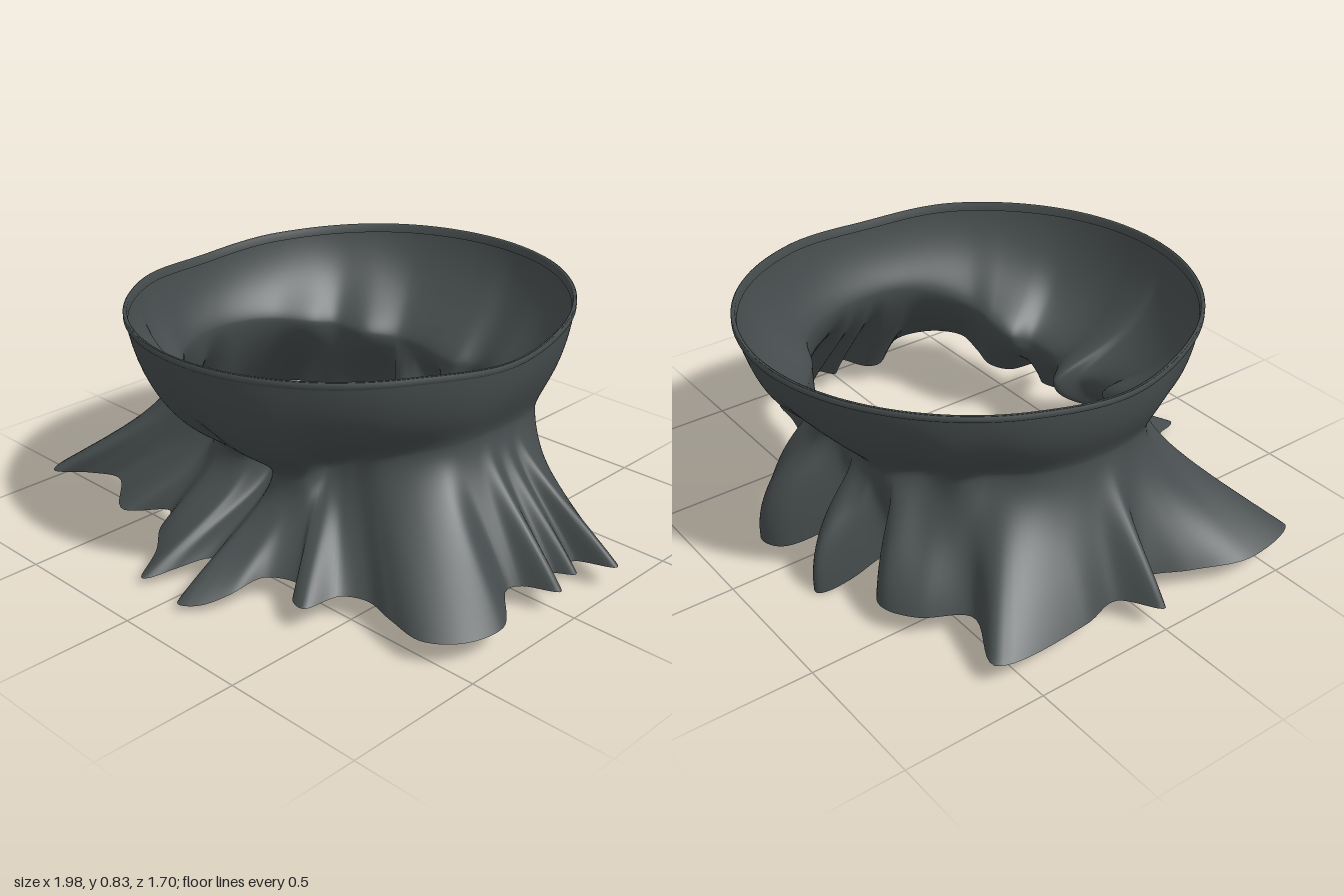
import * as THREE from 'three';

const N = 480; // columns around the cloth
const { lerp, smoothstep } = THREE.MathUtils;

// Outline of the gathered waist, seen from above (x, z), from the front towards +x
const WAIST = [
  -.03, .33, .05, .41, .1, .43, .2, .41, .24, .34, .32, .31, .42, .29, .55, .19, .61, .08, .62, -.1,
  .59, -.26, .53, -.36, .4, -.42, .3, -.5, .2, -.54, .08, -.6, 0, -.56, -.06, -.56, -.2, -.58,
  -.28, -.57, -.38, -.48, -.5, -.44, -.55, -.36, -.65, -.25, -.7, -.1, -.7, .05, -.66, .18,
  -.58, .26, -.5, .33, -.4, .31, -.3, .32, -.25, .4, -.15, .43, -.08, .41,
];

// Outline of the wavy lower hem
const HEM = [
  0, .64, .04, .81, .07, .85, .12, .82, .18, .72, .22, .6, .32, .56, .38, .64, .44, .65, .47, .52,
  .55, .48, .68, .51, .82, .53, .92, .45, .95, .3, .82, .12, .84, .07, .95, .01, .86, -.06,
  .92, -.11, .86, -.17, .99, -.24, .9, -.3, .78, -.36, .68, -.37, .53, -.4, .36, -.4,
  .23, -.41, .26, -.5, .34, -.61, .27, -.72, .18, -.79, .1, -.76, .02, -.6, -.03, -.45,
  -.07, -.58, -.11, -.74, -.18, -.79, -.22, -.68, -.24, -.5, -.29, -.55, -.35, -.66, -.45, -.71,
  -.56, -.65, -.66, -.51, -.88, -.59, -.9, -.25, -.87, -.1, -.99, 0, -.84, .05, -.9, .2,
  -.97, .4, -.91, .63, -.8, .55, -.69, .5, -.48, .64, -.36, .53, -.28, .64, -.21, .71,
  -.14, .83, -.08, .74,
];

// Evenly stepped points on a smooth closed outline
function outline(flat, count) {
  const pts = [];
  for (let i = 0; i < flat.length; i += 2) pts.push(new THREE.Vector3(flat[i], 0, flat[i + 1]));
  const curve = new THREE.CatmullRomCurve3(pts, true);
  return Array.from({ length: count }, (_, i) => curve.getPoint(i / count));
}

// Angles around y, unwrapped so that they keep growing
function unwrapAngles(points) {
  let last = 0;
  return points.map((p) => {
    let a = Math.atan2(p.x, p.z);
    a += Math.round((last - a) / (2 * Math.PI)) * 2 * Math.PI;
    return (last = a);
  });
}

// Radius of an outline as a function of the angle
function radiusByAngle(flat) {
  const pts = outline(flat, 720);
  const angles = unwrapAngles(pts);
  const start = angles[0];
  return (angle) => {
    const a = start + THREE.MathUtils.euclideanModulo(angle - start, 2 * Math.PI);
    let k = angles.findIndex((v) => v > a);
    if (k < 1) k = angles.length;
    const a0 = angles[k - 1];
    const a1 = k < angles.length ? angles[k] : start + 2 * Math.PI;
    const f = (a - a0) / Math.max(a1 - a0, 1e-6);
    return lerp(pts[k - 1].length(), pts[k % pts.length].length(), f);
  };
}

// Skin a closed ring of columns, each a list of points from top to bottom
function skin(columns) {
  const rows = columns[0].length;
  const positions = columns.flatMap((col) => col.flatMap((p) => [p.x, p.y, p.z]));
  const index = [];
  for (let i = 0; i < columns.length; i++) {
    const a = i * rows;
    const b = ((i + 1) % columns.length) * rows;
    for (let j = 0; j < rows - 1; j++) {
      index.push(a + j, a + j + 1, b + j, b + j, a + j + 1, b + j + 1);
    }
  }
  const g = new THREE.BufferGeometry();
  g.setAttribute('position', new THREE.Float32BufferAttribute(positions, 3));
  g.setIndex(index);
  g.computeVertexNormals();
  return g;
}

export function createModel() {
  const group = new THREE.Group();
  group.name = 'drapedCloth';
  const cloth = new THREE.MeshStandardMaterial({ color: 0x464c4d, side: THREE.DoubleSide });
  cloth.name = 'charcoalCloth';

  const hem = outline(HEM, N);
  const rawAngles = unwrapAngles(hem);
  const waistRadius = radiusByAngle(WAIST);

  // Averaged angles keep the bowl smooth where the hem doubles back
  const reach = 10;
  const angles = hem.map((_, i) => {
    let sum = 0;
    for (let k = -reach; k <= reach; k++) {
      const j = i + k;
      sum += rawAngles[(j + N) % N] + Math.floor(j / N) * 2 * Math.PI;
    }
    return sum / (2 * reach + 1);
  });

  const bowl = [], skirt = [], lip = [];
  angles.forEach((angle, i) => {
    const s = Math.sin(angle), c = Math.cos(angle);
    const front = Math.max(c, 0), back = Math.max(-c, 0);

    // Rim: an offset oval, a little higher at the back
    const rim = new THREE.Vector3(-.045 + .745 * s, 0, -.06 + .79 * c);
    rim.y = .788 + .02 * smoothstep(Math.abs(rim.z), 0, .35) + .022 * smoothstep(-rim.z, .2, .85);

    // Waist: low at the front, high at the sides
    const r = waistRadius(angle);
    const waist = new THREE.Vector3(r * s, .52 - .19 * front ** 2 - .1 * back ** 2, r * c);

    // Hem: dips at the front and back
    const end = hem[i].clone();
    const middle = 1 - smoothstep(Math.abs(end.x), .26, .46);
    end.y = .08 - .055 * middle * smoothstep(end.z, .6, .84) - .08 * middle * smoothstep(-end.z, .5, .8);

    // Bowl curve from rim to waist
    const tall = rim.y - waist.y;
    const b1 = rim.clone().lerp(waist, .15).setY(waist.y + tall * (.38 - .19 * front));
    const b2 = waist.clone().lerp(rim, .12).setY(waist.y + tall * .2);
    bowl.push(new THREE.CubicBezierCurve3(rim, b1, b2, waist).getPoints(20));

    // Skirt curve from waist to hem: shouldered at the sides, hanging straighter at the back
    const side = s ** 10;
    const hang = back ** 4 * smoothstep(end.length() - r, -.05, .1);
    const k1 = waist.clone().setY(waist.y - .11);
    const k2 = waist.clone().lerp(end, .55 + .06 * side + .58 * hang);
    k2.y = end.y + .12 + .05 * side + .17 * hang;
    skirt.push(new THREE.CubicBezierCurve3(waist, k1, k2, end).getPoints(24));

    // Turned-over edge along the rim
    const ring = (scale, drop) => new THREE.Vector3(rim.x * scale, rim.y - drop, rim.z * scale);
    lip.push([ring(.982, .03), ring(.986, .003), ring(.995, -.002), ring(1.004, .004), ring(1.004, .02), ring(.992, .028)]);
  });

  // Bowl and skirt share one skin so the waist stays smooth
  const body = new THREE.Mesh(skin(bowl.map((col, i) => [...col, ...skirt[i].slice(1)])), cloth);
  body.name = 'gatheredSkirt';
  const edge = new THREE.Mesh(skin(lip), cloth);
  edge.name = 'rimEdge';
  group.add(body, edge);
  return group;
}
